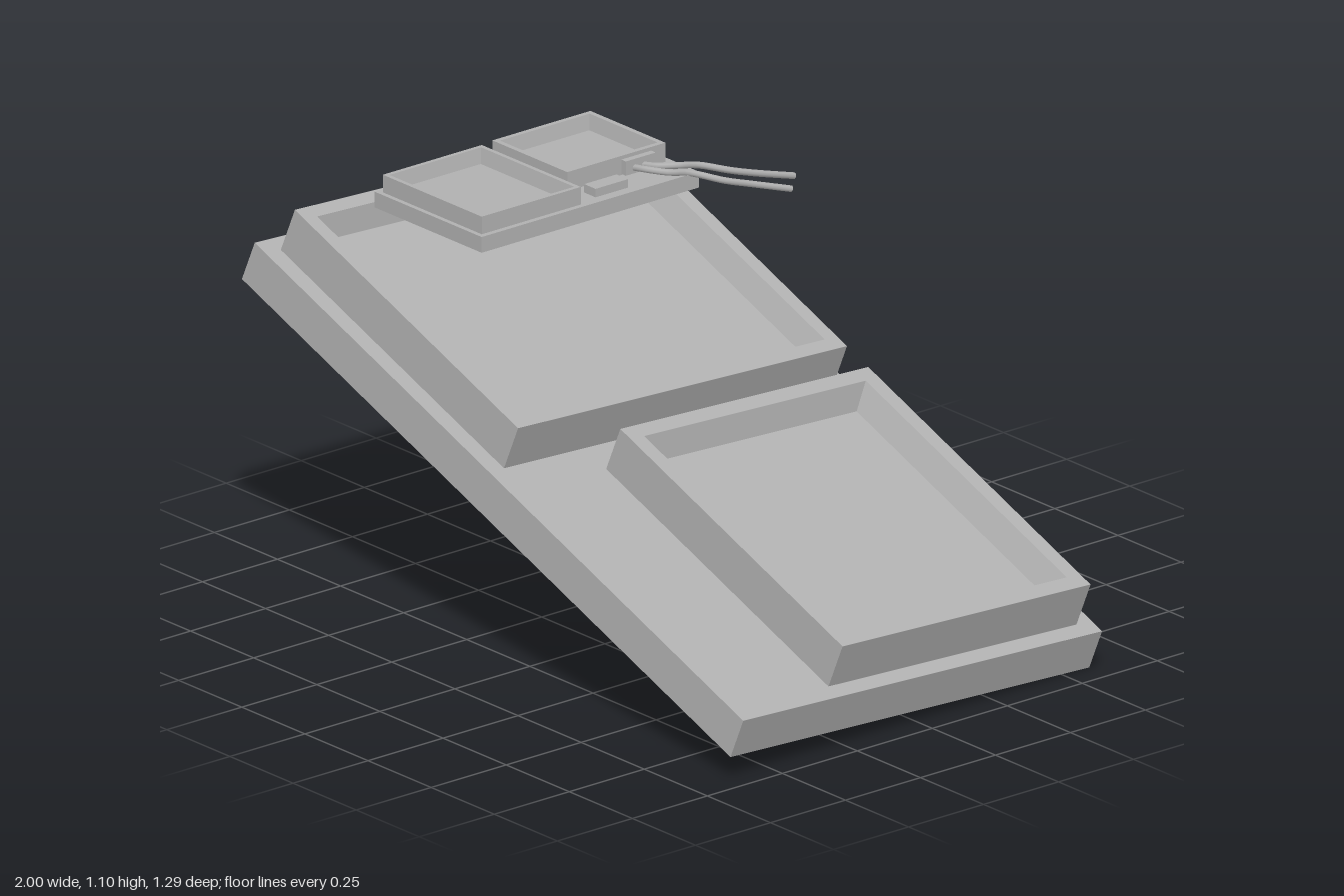
import * as THREE from 'three';

const grey = new THREE.MeshStandardMaterial({ color: 0xb0b0b0, side: THREE.DoubleSide });
grey.name = 'plain grey';

// Flat-sided shell through rectangular sections [x0, x1, z0, z1, y], optionally closed by the last one
function shell(sections, capped = true) {
  const corners = ([x0, x1, z0, z1, y]) => [[x0, y, z1], [x1, y, z1], [x1, y, z0], [x0, y, z0]];
  const pos = [];
  const quad = (a, b, c, d) => pos.push(...a, ...b, ...c, ...a, ...c, ...d);
  const rings = sections.map(corners);
  for (let r = 0; r < rings.length - 1; r++) {
    for (let i = 0; i < 4; i++) {
      const j = (i + 1) % 4;
      quad(rings[r][i], rings[r][j], rings[r + 1][j], rings[r + 1][i]);
    }
  }
  if (capped) quad(...rings[rings.length - 1]);
  const g = new THREE.BufferGeometry();
  g.setAttribute('position', new THREE.Float32BufferAttribute(pos, 3));
  g.computeVertexNormals();
  return g;
}

// Open-bottomed tray with a rim and a tapered recess
function tray([x0, x1, z0, z1], y, height, rim, depth, draft) {
  const inset = (d, h) => [x0 + d, x1 - d, z0 + d, z1 - d, h];
  const top = y + height;
  return shell([inset(0, y), inset(0, top), inset(rim, top), inset(rim + draft, top - depth)]);
}

function add(parent, name, geometry) {
  const mesh = new THREE.Mesh(geometry, grey);
  mesh.name = name;
  parent.add(mesh);
  return mesh;
}

function box(parent, name, x0, x1, y0, y1, z0, z1) {
  add(parent, name, new THREE.BoxGeometry(x1 - x0, y1 - y0, z1 - z0))
    .position.set((x0 + x1) / 2, (y0 + y1) / 2, (z0 + z1) / 2);
}

export function createModel() {
  const model = new THREE.Group();
  model.name = 'tiltedTrays';

  // Sloping assembly: hollow base with two trays
  const slope = new THREE.Group();
  slope.name = 'slopingBase';
  const v = new THREE.Vector3(0.025, 0.053, 0.998).normalize();
  const u = new THREE.Vector3(0.933, -0.361, -0.004);
  u.addScaledVector(v, -u.dot(v)).normalize();
  const n = new THREE.Vector3().crossVectors(v, u);
  slope.quaternion.setFromRotationMatrix(new THREE.Matrix4().makeBasis(u, n, v));
  slope.position.set(-0.022, 0.411, 0.029);
  model.add(slope);

  const L = 1.032, D = 0.612, H = 0.118;
  const largeArea = [-0.985, -0.042, -0.561, 0.561];
  const smallArea = [0.048, 0.987, -0.561, 0.285];
  add(slope, 'baseWalls', shell([[-L, L, -D, D, 0], [-L, L, -D, D, H]], false));

  // Base top, open beneath the trays
  const rect = (x0, x1, z0, z1) => [[x0, -z1], [x1, -z1], [x1, -z0], [x0, -z0]]
    .map(([x, y]) => new THREE.Vector2(x, y));
  const topShape = new THREE.Shape(rect(-L, L, -D, D));
  for (const area of [largeArea, smallArea]) topShape.holes.push(new THREE.Path(rect(...area).reverse()));
  add(slope, 'baseTop', new THREE.ShapeGeometry(topShape).rotateX(-Math.PI / 2)).position.y = H;

  add(slope, 'largeTray', tray(largeArea, H, 0.13, 0.042, 0.062, 0.029));
  add(slope, 'smallTray', tray(smallArea, H, 0.13, 0.045, 0.067, 0.033));

  // Level unit resting on the raised end
  const unit = new THREE.Group();
  unit.name = 'levelUnit';
  model.add(unit);
  const plate = [-0.755, -0.33, -0.342, 0.383];
  add(unit, 'unitPlate', shell([[...plate, 1.01], [...plate, 1.053]]));
  add(unit, 'unitFrontTray', tray([-0.737, -0.345, 0.04, 0.37], 1.053, 0.048, 0.012, 0.04, 0.01));
  add(unit, 'unitBackTray', tray([-0.737, -0.44, -0.322, 0.005], 1.053, 0.052, 0.014, 0.04, 0.01));
  for (const x of [-0.69, -0.597, -0.565, -0.47]) {
    box(unit, 'trayLink', x - 0.006, x + 0.006, 1.053, 1.078, 0.005, 0.04);
  }
  box(unit, 'smallBlock', -0.405, -0.36, 1.053, 1.076, -0.13, -0.022);
  box(unit, 'cableSocket', -0.44, -0.422, 1.056, 1.095, -0.275, -0.175);

  // Cables trailing off the back
  const cables = [
    [[-0.43, 1.07, -0.235], [-0.385, 1.075, -0.25], [-0.357, 1.075, -0.29], [-0.353, 1.06, -0.36],
      [-0.322, 1.035, -0.44], [-0.314, 1.01, -0.52], [-0.315, 0.972, -0.645]],
    [[-0.43, 1.07, -0.205], [-0.38, 1.075, -0.215], [-0.343, 1.07, -0.25], [-0.335, 1.055, -0.315],
      [-0.287, 1.03, -0.39], [-0.272, 1.005, -0.47], [-0.248, 0.972, -0.58]],
  ];
  for (const points of cables) {
    const curve = new THREE.CatmullRomCurve3(points.map((p) => new THREE.Vector3(...p)));
    add(unit, 'cable', new THREE.TubeGeometry(curve, 28, 0.009, 8));
  }
  return model;
}
